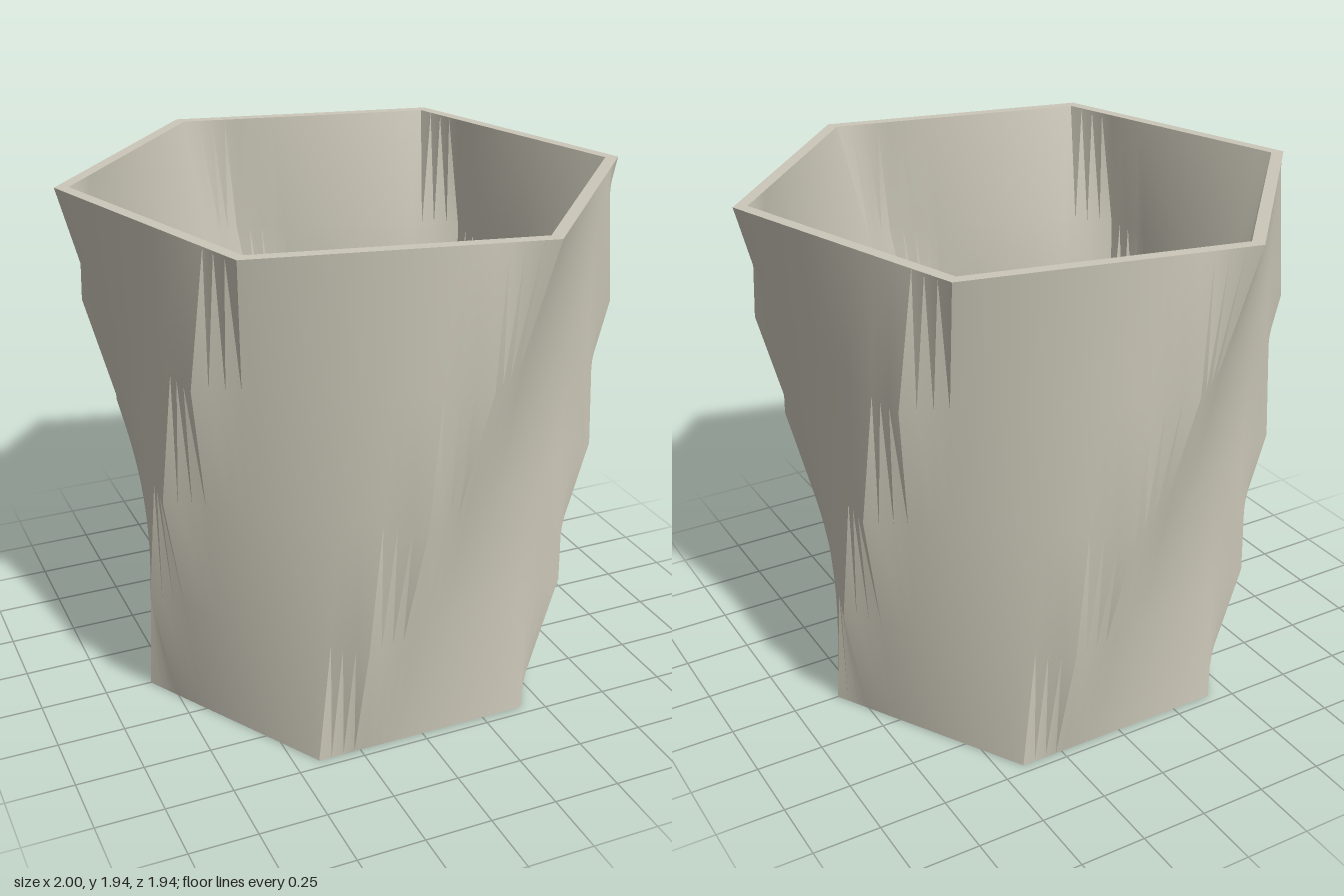
import * as THREE from 'three';
import { toCreasedNormals } from 'three/addons/utils/BufferGeometryUtils.js';

const H = 1.94, N = 120, LAYERS = 4, WALL = 0.05, FLOOR = 0.13, HOLE = 0.075;
const TWIST = THREE.MathUtils.degToRad(48), SIDE = Math.PI / 3;

// Ring of N points at fixed angles; radius(angle) gives the outline.
function ring(y, radius) {
  return Array.from({ length: N }, (_, i) => {
    const a = (i / N) * Math.PI * 2, r = radius(a);
    return [r * Math.cos(a), y, r * Math.sin(a)];
  });
}

// Hexagon that widens and twists with height.
function hexRing(y, inset) {
  const t = y / H, apothem = (0.823 + 0.197 * t - inset) * Math.cos(SIDE / 2);
  return ring(y, a => {
    const u = a + t * TWIST + 1e-7;
    const local = u - Math.floor(u / SIDE) * SIDE - SIDE / 2;
    return apothem / Math.cos(local);
  });
}

const circle = y => ring(y, () => HOLE);

// Skin consecutive rings; flip picks the other diagonal for downward walls.
function skin(rings, flip = false) {
  const pos = [];
  for (let k = 0; k + 1 < rings.length; k++) {
    const a = rings[k], b = rings[k + 1];
    for (let i = 0; i < N; i++) {
      const j = (i + N - 1) % N;
      const tris = flip
        ? [a[i], a[j], b[i], a[j], b[j], b[i]]
        : [a[i], a[j], b[j], a[i], b[j], b[i]];
      tris.forEach(p => pos.push(...p));
    }
  }
  const g = new THREE.BufferGeometry();
  g.setAttribute('position', new THREE.Float32BufferAttribute(pos, 3));
  return toCreasedNormals(g, 0.45);
}

export function createModel() {
  const group = new THREE.Group();
  group.name = 'twistedPlanter';
  const clay = new THREE.MeshStandardMaterial({ color: 0xcbc7b8 });
  clay.name = 'warm grey';
  const add = (name, geometry) => {
    const mesh = new THREE.Mesh(geometry, clay);
    mesh.name = name;
    group.add(mesh);
  };

  const outer = [], inner = [];
  for (let k = 0; k <= LAYERS; k++) {
    outer.push(hexRing((H * k) / LAYERS, 0));
    inner.unshift(hexRing(FLOOR + ((H - FLOOR) * k) / LAYERS, WALL));
  }

  add('outerWall', skin(outer));
  add('rim', skin([outer[LAYERS], inner[0]]));
  add('innerWall', skin(inner, true));
  add('floor', skin([inner[LAYERS], circle(FLOOR)]));
  add('drainHole', skin([circle(FLOOR), circle(0)]));
  add('underside', skin([circle(0), outer[0]]));
  return group;
}
